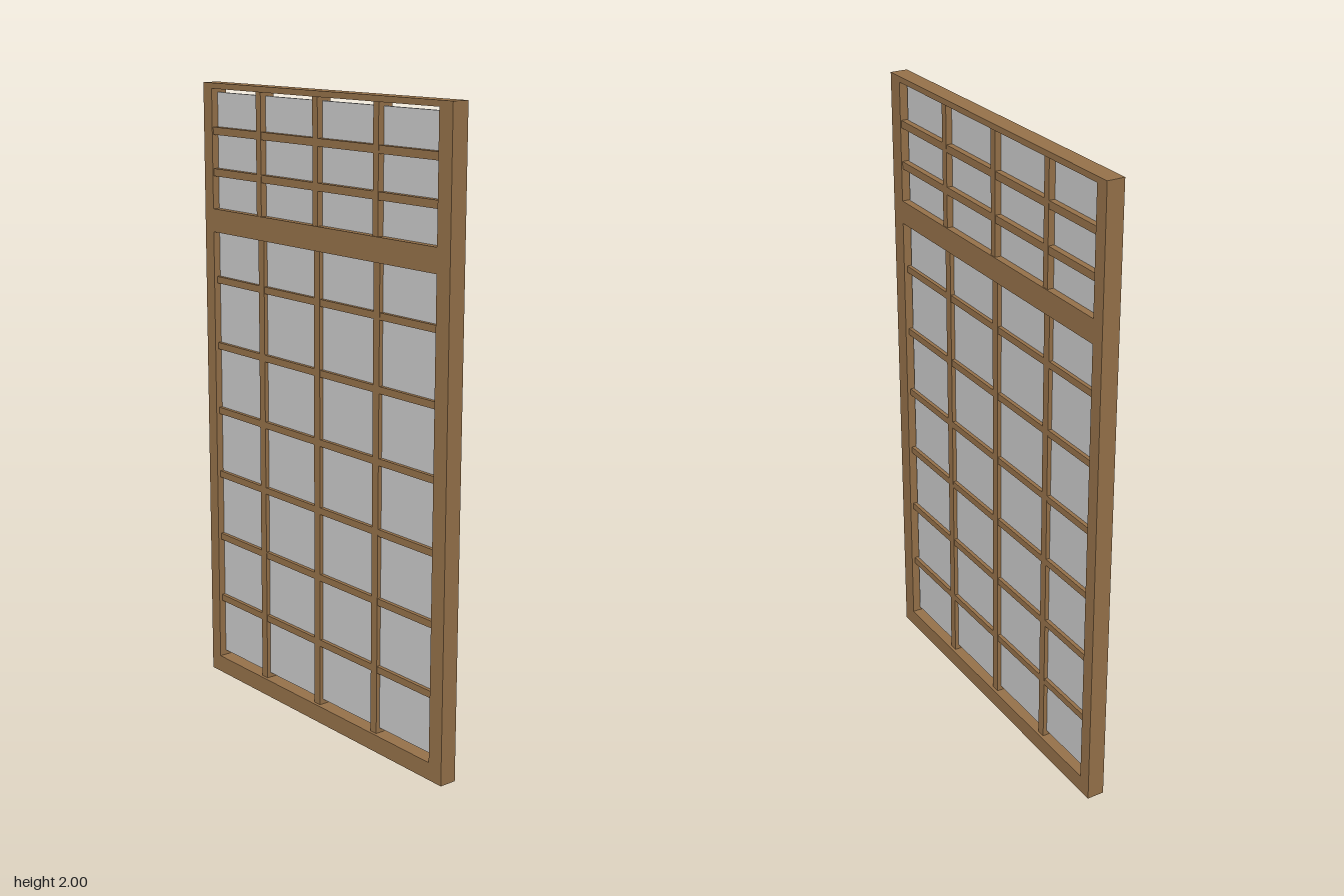
import * as THREE from 'three';

export function createModel() {
  const group = new THREE.Group();
  group.name = 'griddedWindow';
  const wood = new THREE.MeshStandardMaterial({ color: 0x96724a });
  const glass = new THREE.MeshStandardMaterial({ color: 0xcccccc });

  // Box given by its edges in x and y, centred in depth
  function slab(name, x0, x1, y0, y1, depth, material = wood) {
    const mesh = new THREE.Mesh(new THREE.BoxGeometry(x1 - x0, y1 - y0, depth), material);
    mesh.position.set((x0 + x1) / 2, (y0 + y1) / 2, 0);
    mesh.name = name;
    group.add(mesh);
  }

  const D = 0.056;
  const W = 0.587;
  const inL = -0.542;
  const inR = 0.532;

  // Outer frame and middle rail
  slab('leftStile', inR, W, 0, 2, D);
  slab('rightStile', -W, inL, 0, 2, D);
  slab('topRail', inL, inR, 1.982, 2, D);
  slab('middleRail', inL, inR, 1.525, 1.6, D);
  slab('bottomRail', inL, inR, 0, 0.056, D);

  // Vertical bars of the lower window and the transom
  for (const x of [-0.298, -0.016, 0.264]) {
    slab('lowerVerticalBar', x - 0.014, x + 0.014, 0.056, 1.525, 0.036);
    slab('transomVerticalBar', x - 0.012, x + 0.012, 1.6, 1.982, 0.05);
  }

  // Horizontal bars, evenly spaced in each section
  for (let i = 0; i < 6; i++) {
    const y = 0.267 + i * 0.22;
    slab('lowerHorizontalBar', inL, inR, y - 0.011, y + 0.011, 0.034);
  }
  for (const y of [1.717, 1.849]) {
    slab('transomHorizontalBar', inL, inR, y - 0.012, y + 0.012, 0.048);
  }

  // Glass pane running behind all the bars
  slab('glassPane', inL, 0.525, 0.072, 1.97, 0.01, glass);

  return group;
}
